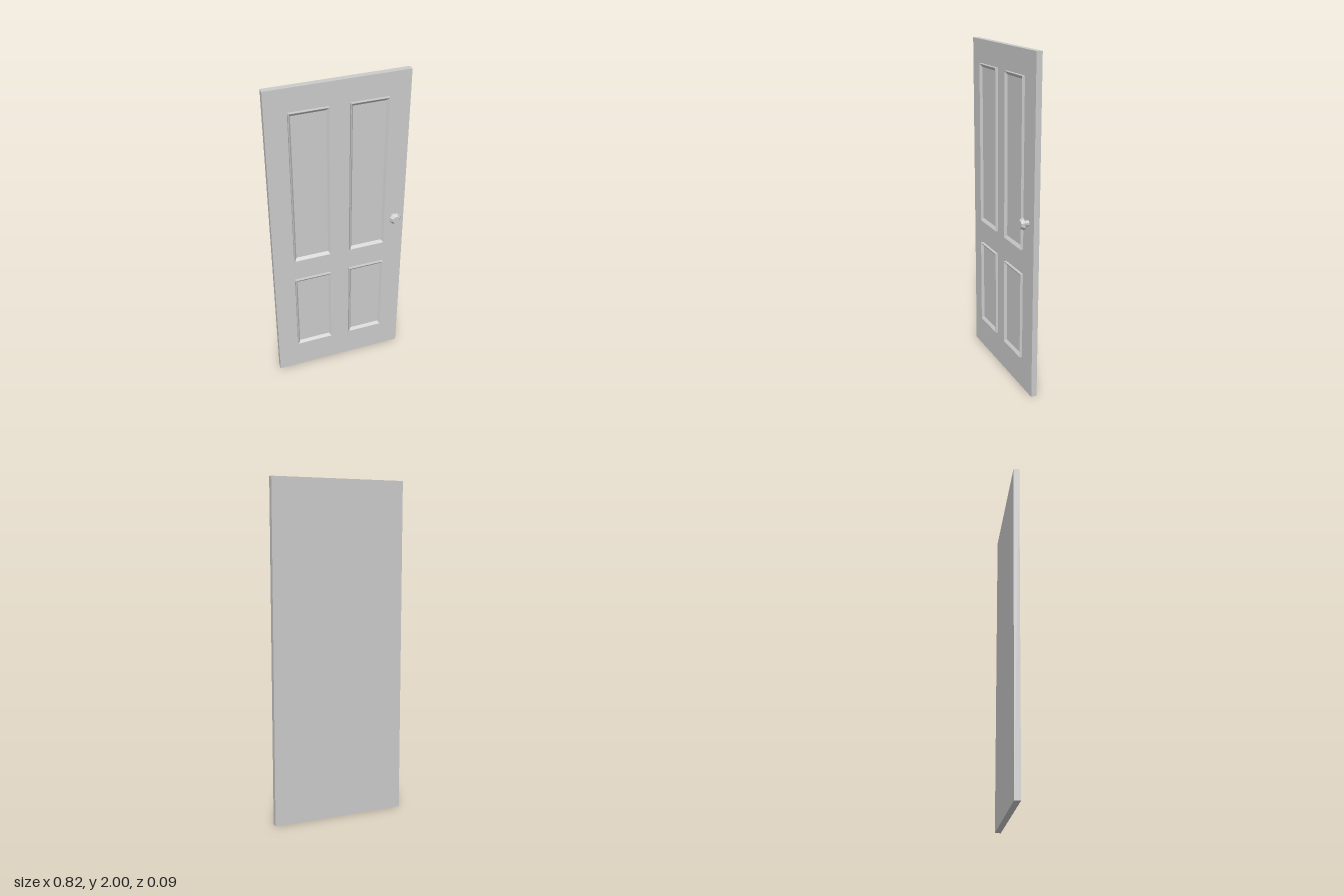
import * as THREE from 'three';

const material = new THREE.MeshStandardMaterial({ color: 0xcccccc, flatShading: true });

function add(parent, name, geometry) {
  const mesh = new THREE.Mesh(geometry, material);
  mesh.name = name;
  parent.add(mesh);
  return mesh;
}

// Shallow tray: outer walls, narrow rim, inward bevel and a sunken field
function panelGeometry(width, height) {
  // [inset in x, inset in y, z]
  const loops = [
    [0, 0, -0.011],
    [0, 0, 0.006],
    [0.003, 0.003, 0.006],
    [0.015, 0.02, -0.008],
  ].map(([ix, iy, z]) => {
    const x = width / 2 - ix, y = height / 2 - iy;
    return [[-x, -y, z], [x, -y, z], [x, y, z], [-x, y, z]];
  });
  const positions = [];
  const quad = (a, b, c, d) => positions.push(...a, ...b, ...c, ...a, ...c, ...d);
  for (let i = 0; i < loops.length - 1; i++) {
    for (let k = 0; k < 4; k++) {
      const n = (k + 1) % 4;
      quad(loops[i][k], loops[i][n], loops[i + 1][n], loops[i + 1][k]);
    }
  }
  quad(...loops[loops.length - 1]);
  const geometry = new THREE.BufferGeometry();
  geometry.setAttribute('position', new THREE.Float32BufferAttribute(positions, 3));
  geometry.computeVertexNormals();
  return geometry;
}

export function createModel() {
  const door = new THREE.Group();
  door.name = 'door';

  // Door slab
  add(door, 'slab', new THREE.BoxGeometry(0.82, 2, 0.035)).position.set(0, 1, -0.0275);

  // Two tall panels above two short ones
  const columns = [['right', -0.284, -0.057], ['left', 0.062, 0.283]];
  const rows = [['upper', 0.885, 1.862], ['lower', 0.2, 0.737]];
  for (const [row, y0, y1] of rows) {
    for (const [side, x0, x1] of columns) {
      const panel = add(door, `${row} ${side} panel`, panelGeometry(x1 - x0, y1 - y0));
      panel.position.set((x0 + x1) / 2, (y0 + y1) / 2, 0);
    }
  }

  // Eight-sided knob and its stem
  const knob = new THREE.Group();
  knob.name = 'knob';
  knob.position.set(0.342, 1.065, 0);
  knob.rotation.x = Math.PI / 2;
  door.add(knob);
  const turned = (points) => new THREE.LatheGeometry(
    points.map(([r, y]) => new THREE.Vector2(r, y)), 8, Math.PI / 8);
  add(knob, 'knobStem', turned([[0.017, -0.012], [0.017, 0.014]]));
  add(knob, 'knobHead', turned([[0, 0.013], [0.019, 0.013], [0.037, 0.023], [0.023, 0.042], [0, 0.042]]));

  return door;
}
